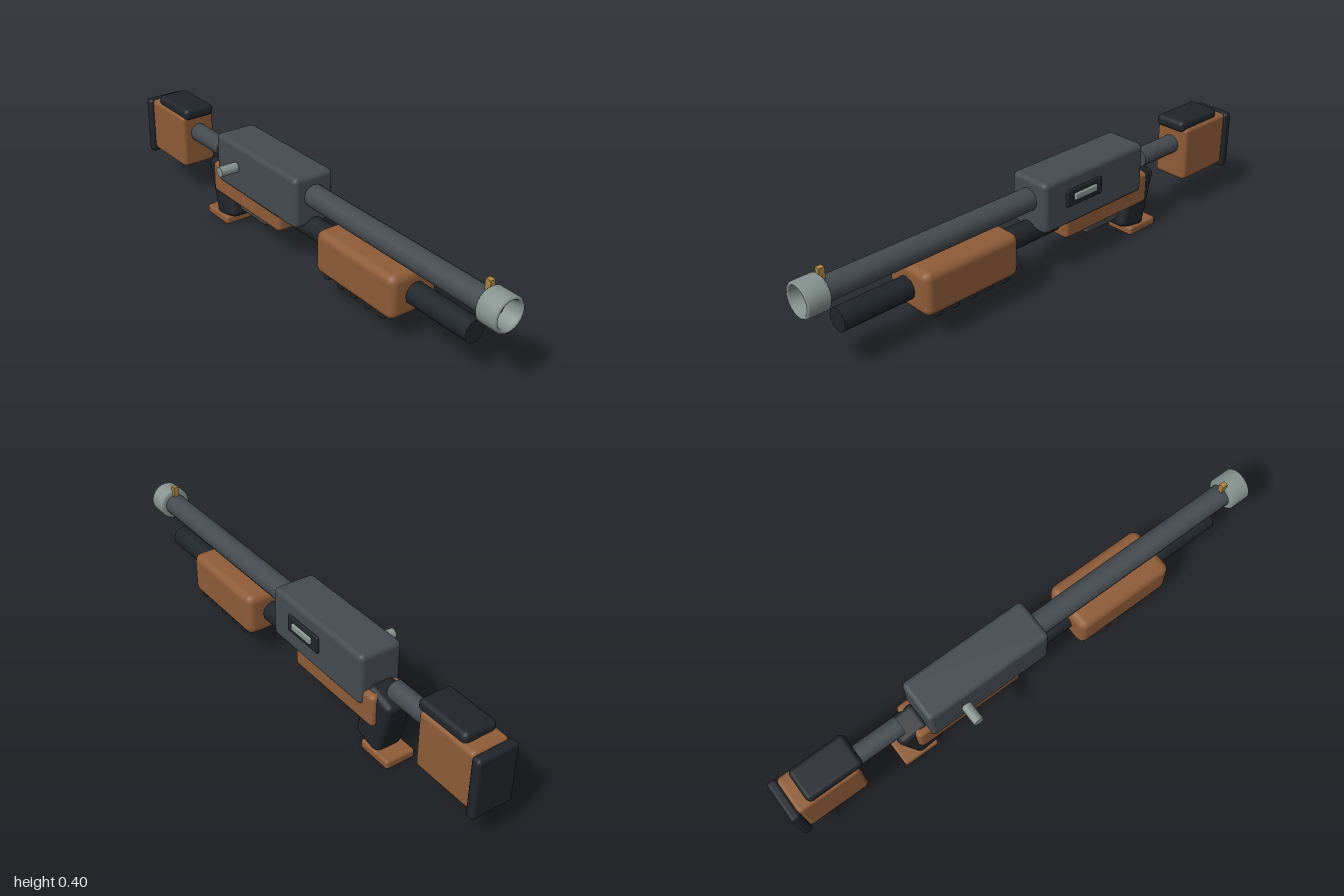
import * as THREE from 'three';
import { RoundedBoxGeometry } from 'three/addons/geometries/RoundedBoxGeometry.js';

const mat = (color) => new THREE.MeshStandardMaterial({ color });
const CX = 0.028; // centre line of the body

export function createModel() {
  const group = new THREE.Group();
  const wood = mat(0x8f5c38), black = mat(0x20252a), steel = mat(0x454b51);
  const silver = mat(0x87938f), brass = mat(0xa98545);
  silver.side = THREE.DoubleSide;

  const add = (name, geometry, material, x, y, z) => {
    const mesh = new THREE.Mesh(geometry, material);
    mesh.name = name;
    mesh.position.set(x, y, z);
    group.add(mesh);
    return mesh;
  };
  // Rounded block given by its limits on each axis
  const block = (name, material, [x0, x1], [y0, y1], [z0, z1], radius) =>
    add(name, new RoundedBoxGeometry(x1 - x0, y1 - y0, z1 - z0, 2, radius), material,
      (x0 + x1) / 2, (y0 + y1) / 2, (z0 + z1) / 2);
  // Rod along z
  const rod = (name, material, radius, y, z0, z1, sides) =>
    add(name, new THREE.CylinderGeometry(radius, radius, z1 - z0, sides).rotateX(Math.PI / 2),
      material, CX, y, (z0 + z1) / 2);

  // Barrel, magazine tube and stock tube
  rod('barrel', steel, 0.043, 0.319, 0.0, 0.94, 16);
  rod('magazineTube', black, 0.042, 0.192, -0.12, 0.87, 12);
  rod('stockTube', steel, 0.037, 0.286, -0.76, -0.527, 12);

  // Hollow muzzle ring with a funnel-shaped bore
  const profile = [[0.043, 0], [0.058, 0], [0.063, 0.006], [0.063, 0.079], [0.058, 0.085],
    [0.053, 0.085], [0.049, 0.079], [0.043, 0.02], [0.043, 0]].map(([r, h]) => new THREE.Vector2(r, h));
  add('muzzleRing', new THREE.LatheGeometry(profile, 24).rotateX(Math.PI / 2), silver, CX, 0.319, 0.915);
  add('frontSight', new THREE.BoxGeometry(0.02, 0.045, 0.022), brass, CX, 0.3785, 0.911);

  // Receiver with its side port and bolt handle
  block('receiver', steel, [-0.056, 0.113], [0.203, 0.4], [-0.452, 0.058], 0.02);
  block('portFrame', black, [0.1, 0.122], [0.279, 0.345], [-0.222, -0.045], 0.006);
  block('portCover', silver, [0.108, 0.131], [0.301, 0.328], [-0.19, -0.078], 0.006);
  add('boltHandle', new THREE.CylinderGeometry(0.02, 0.02, 0.074, 12).rotateZ(Math.PI / 2),
    silver, -0.098, 0.313, -0.307);
  block('lowerBody', wood, [-0.045, 0.101], [0.135, 0.262], [-0.502, -0.06], 0.018);

  // Sliding fore-end with ribs underneath
  block('foreEnd', wood, [-0.074, 0.131], [0.11, 0.277], [0.193, 0.6], 0.03);
  for (let i = 0; i < 5; i++) {
    const z = 0.25 + i * 0.0735;
    block('foreEndRib', black, [-0.067, 0.124], [0.101, 0.124], [z - 0.014, z + 0.014], 0.007);
  }

  // Trigger guard
  block('guardBar', steel, [0.01, 0.046], [0.075, 0.111], [-0.43, -0.228], 0.009);
  block('guardPost', steel, [0.01, 0.046], [0.08, 0.15], [-0.262, -0.228], 0.009);

  // Raked grip standing on a wooden foot
  const grip = add('grip', new RoundedBoxGeometry(0.11, 0.236, 0.128, 2, 0.024), black, CX, 0.147, -0.476);
  grip.rotation.x = -0.25;
  block('gripFoot', wood, [-0.032, 0.088], [0.002, 0.037], [-0.575, -0.43], 0.01);

  // Stock, cheek rest and butt pad
  block('stock', wood, [-0.045, 0.101], [0.145, 0.366], [-0.968, -0.72], 0.018);
  block('cheekRest', black, [-0.038, 0.092], [0.352, 0.397], [-0.92, -0.702], 0.018);
  block('buttPad', black, [-0.054, 0.108], [0.128, 0.362], [-1.0, -0.963], 0.013);

  return group;
}
